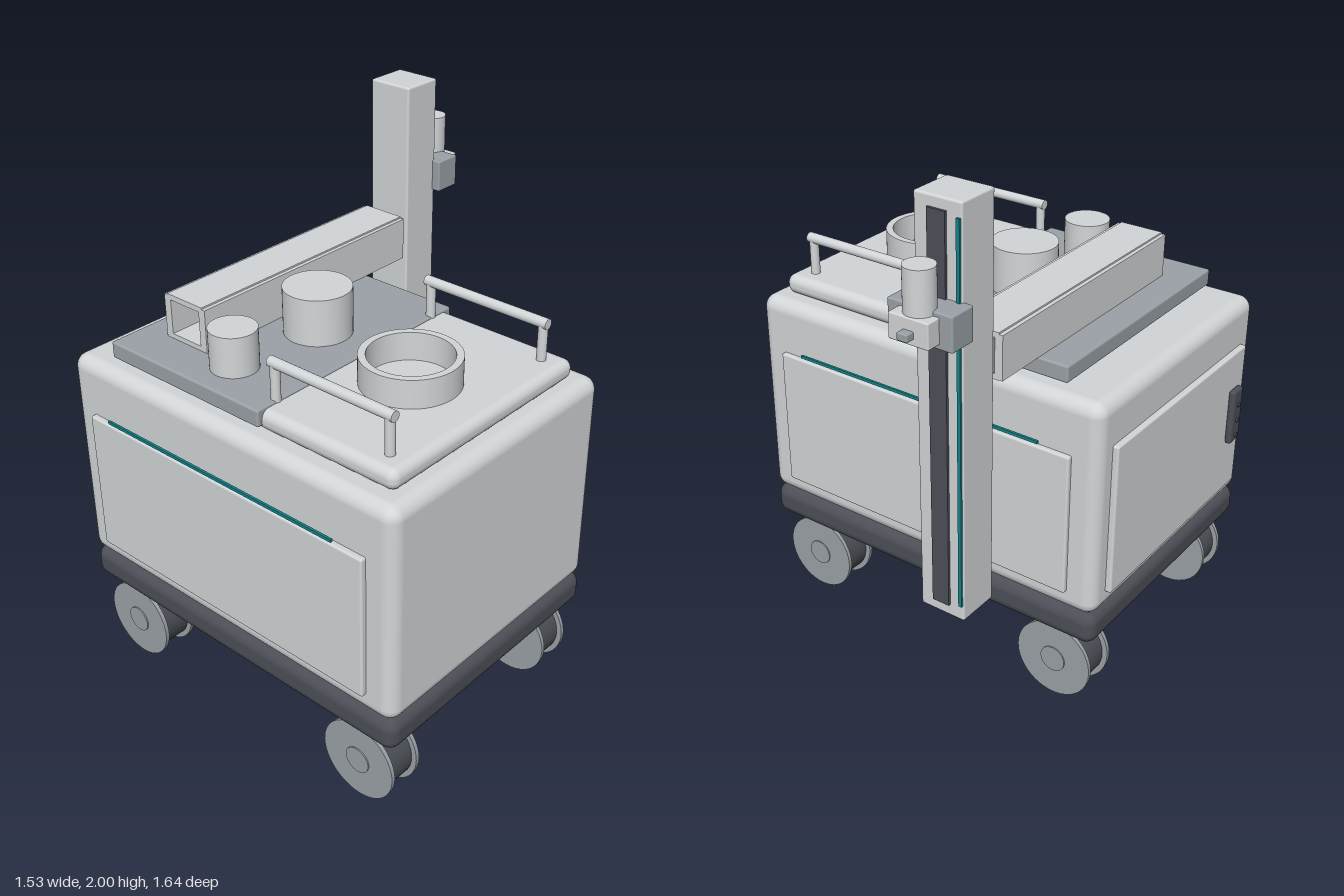
import * as THREE from 'three';
import { RoundedBoxGeometry } from 'three/addons/geometries/RoundedBoxGeometry.js';

const mat = (name, color) => {
  const m = new THREE.MeshStandardMaterial({ color });
  m.name = name;
  return m;
};

export function createModel() {
  const root = new THREE.Group();
  root.name = 'mobileLabCart';
  const light = mat('lightShell', 0xd3d6d8);
  const grey = mat('midGrey', 0x9ba2a7);
  const dark = mat('darkGrey', 0x4c4f57);
  const teal = mat('tealAccent', 0x14848a);

  const add = (name, geometry, material, parent = root) => {
    const m = new THREE.Mesh(geometry, material);
    m.name = name;
    parent.add(m);
    return m;
  };
  // Box given by its extents, with optional rounded edges
  const box = (name, material, [x0, x1], [y0, y1], [z0, z1], r = 0, parent = root) => {
    const s = [x1 - x0, y1 - y0, z1 - z0];
    const g = r ? new RoundedBoxGeometry(...s, 4, r) : new THREE.BoxGeometry(...s);
    const m = add(name, g, material, parent);
    m.position.set((x0 + x1) / 2, (y0 + y1) / 2, (z0 + z1) / 2);
    return m;
  };
  // Upright cylinder
  const can = (name, material, r, [y0, y1], x, z, parent = root) => {
    const m = add(name, new THREE.CylinderGeometry(r, r, y1 - y0, 48), material, parent);
    m.position.set(x, (y0 + y1) / 2, z);
    return m;
  };

  // Cabinet and base
  box('cabinet', light, [-0.715, 0.765], [0.435, 1.265], [-0.3, 0.783], 0.05);
  box('base', dark, [-0.715, 0.765], [0.31, 0.437], [-0.3, 0.783], 0.045);

  // Front and back panels with accent strips
  box('frontPanel', light, [-0.61, 0.657], [0.515, 1.06], [0.77, 0.804], 0.008);
  box('backPanel', light, [-0.61, 0.657], [0.515, 1.06], [-0.318, -0.29], 0.008);
  box('frontAccent', teal, [-0.495, 0.545], [1.079, 1.09], [0.808, 0.817]);
  box('backAccent', teal, [-0.495, 0.545], [1.079, 1.09], [-0.332, -0.323]);

  // Side door with latch and buttons
  box('sideDoor', light, [-0.737, -0.7], [0.51, 1.095], [-0.217, 0.7], 0.008);
  box('doorLatch', dark, [-0.762, -0.735], [0.725, 0.95], [0.587, 0.66], 0.012);
  for (const y of [0.755, 0.82, 0.885]) {
    const b = add('latchButton', new THREE.CylinderGeometry(0.009, 0.009, 0.008, 16), dark);
    b.rotation.z = Math.PI / 2;
    b.position.set(-0.764, y, 0.623);
  }

  // Lid and instrument deck
  box('lid', light, [-0.24, 0.7], [1.262, 1.337], [-0.228, 0.706], 0.033);
  box('deck', grey, [-0.55, 0.155], [1.282, 1.345], [-0.245, 0.725], 0.008);

  // Containers on top
  can('largeCanister', light, 0.122, [1.34, 1.517], -0.075, 0.2);
  can('smallCanister', light, 0.084, [1.34, 1.492], -0.107, 0.569);
  const ring = [[0.147, 0], [0.173, 0], [0.173, 0.107], [0.147, 0.107], [0.147, 0]];
  const ringShape = new THREE.Shape().absarc(0, 0, ring[1][0], 0, Math.PI * 2);
  ringShape.holes.push(new THREE.Path().absarc(0, 0, ring[0][0], 0, Math.PI * 2, true));
  const collar = add('portCollar', new THREE.ExtrudeGeometry(ringShape,
    { depth: ring[2][1], bevelEnabled: false, curveSegments: 48 }), light);
  collar.rotation.x = -Math.PI / 2;
  collar.position.set(0.387, 1.334, 0.256);

  // Push handles
  for (const z of [-0.148, 0.628]) {
    const h = new THREE.Group();
    h.name = 'handle';
    root.add(h);
    for (const x of [0.142, 0.618]) can('handlePost', light, 0.017, [1.32, 1.475], x, z, h);
    const bar = add('handleBar', new THREE.CylinderGeometry(0.019, 0.019, 0.514, 24), light, h);
    bar.rotation.z = Math.PI / 2;
    bar.position.set(0.38, 1.474, z);
  }

  // Hollow arm sleeve with side rails and sliding inner arm
  const rect = (Type, w, h) => new Type([[-w, -h], [w, -h], [w, h], [-w, h]]
    .map(([x, y]) => new THREE.Vector2(x, y)));
  const sleeveShape = rect(THREE.Shape, 0.084, 0.084);
  sleeveShape.holes.push(rect(THREE.Path, 0.069, 0.064));
  const sleeve = add('armSleeve', new THREE.ExtrudeGeometry(sleeveShape,
    { depth: 1.02, bevelEnabled: false }), light);
  sleeve.position.set(-0.338, 1.427, -0.45);
  for (const s of [-1, 1]) {
    const x = -0.338 + s * 0.091;
    box('sleeveRail', light, [x - 0.008, x + 0.008], [1.345, 1.505], [-0.45, 0.57]);
  }
  box('innerArm', grey, [-0.406, -0.27], [1.368, 1.488], [-0.49, 0.45]);

  // Column with guide track and accent
  box('column', light, [-0.428, -0.25], [0.52, 2], [-0.645, -0.483], 0.008);
  box('columnTrack', dark, [-0.372, -0.305], [0.565, 1.962], [-0.654, -0.645]);
  box('columnAccent', teal, [-0.423, -0.41], [0.58, 1.95], [-0.652, -0.644]);

  // Carriage with motor and probe
  const carriage = new THREE.Group();
  carriage.name = 'carriage';
  root.add(carriage);
  box('carriageBlock', grey, [-0.46, -0.217], [1.565, 1.685], [-0.737, -0.632], 0.006, carriage);
  box('toolMount', light, [-0.412, -0.262], [1.582, 1.67], [-0.79, -0.73], 0.005, carriage);
  can('motor', light, 0.052, [1.6, 1.82], -0.338, -0.732, carriage);
  box('probe', grey, [-0.358, -0.318], [1.604, 1.63], [-0.82, -0.785], 0.004, carriage);

  // Casters: dark core between two discs with hubs
  for (const x of [-0.535, 0.585]) for (const z of [-0.182, 0.675]) {
    const c = new THREE.Group();
    c.name = 'caster';
    c.position.set(x, 0.155, z);
    root.add(c);
    const disc = (name, m, r, d, dz) => {
      const w = add(name, new THREE.CylinderGeometry(r, r, d, 48), m, c);
      w.rotation.x = Math.PI / 2;
      w.position.z = dz;
    };
    disc('wheelCore', dark, 0.132, 0.11, 0);
    for (const s of [-1, 1]) {
      disc('wheelDisc', grey, 0.152, 0.015, s * 0.063);
      disc('wheelHub', grey, 0.05, 0.01, s * 0.07);
    }
    box('casterStem', grey, [-0.055, 0.055], [0.1, 0.165], [-0.04, 0.04], 0, c);
  }
  return root;
}
